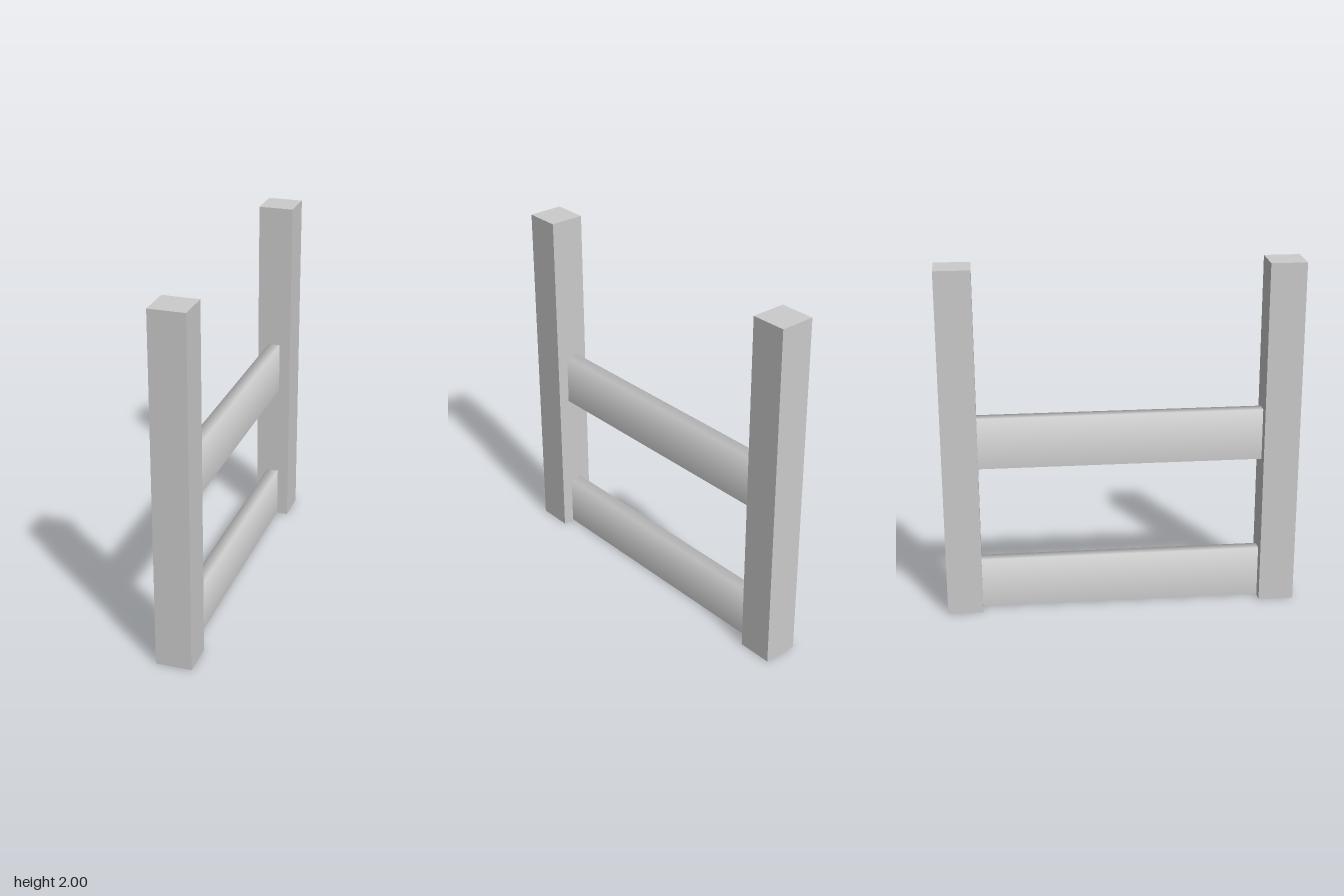
import * as THREE from 'three';

const material = new THREE.MeshStandardMaterial({ color: 0xcccccc });

function addBox(group, name, size, position, soften = false) {
  const geometry = new THREE.BoxGeometry(...size);
  if (soften) softenTop(geometry);
  const mesh = new THREE.Mesh(geometry, material);
  mesh.name = name;
  mesh.position.set(...position);
  group.add(mesh);
}

// Shade the sides smoothly into the top; the underside and ends stay sharp
function softenTop(geometry) {
  const { position, normal } = geometry.attributes;
  for (let i = 0; i < position.count; i++) {
    const sideOrTop = Math.abs(normal.getX(i)) > 0.5 || normal.getY(i) > 0.5;
    if (sideOrTop && position.getY(i) > 0) {
      normal.setXYZ(i, Math.sign(position.getX(i)) * Math.SQRT1_2, Math.SQRT1_2, 0);
    }
  }
}

export function createModel() {
  const model = new THREE.Group();
  model.name = 'fenceSection';

  // Square upright posts
  addBox(model, 'frontPost', [0.2, 2, 0.2], [0, 1, 0.9]);
  addBox(model, 'backPost', [0.2, 2, 0.2], [0, 1, -0.9]);

  // Thin rails between the posts
  const railHeight = 0.295;
  for (const [name, top] of [['lowerRail', 0.3], ['upperRail', 1.15]]) {
    addBox(model, name, [0.07, railHeight, 1.6], [0, top - railHeight / 2, 0], true);
  }

  return model;
}
